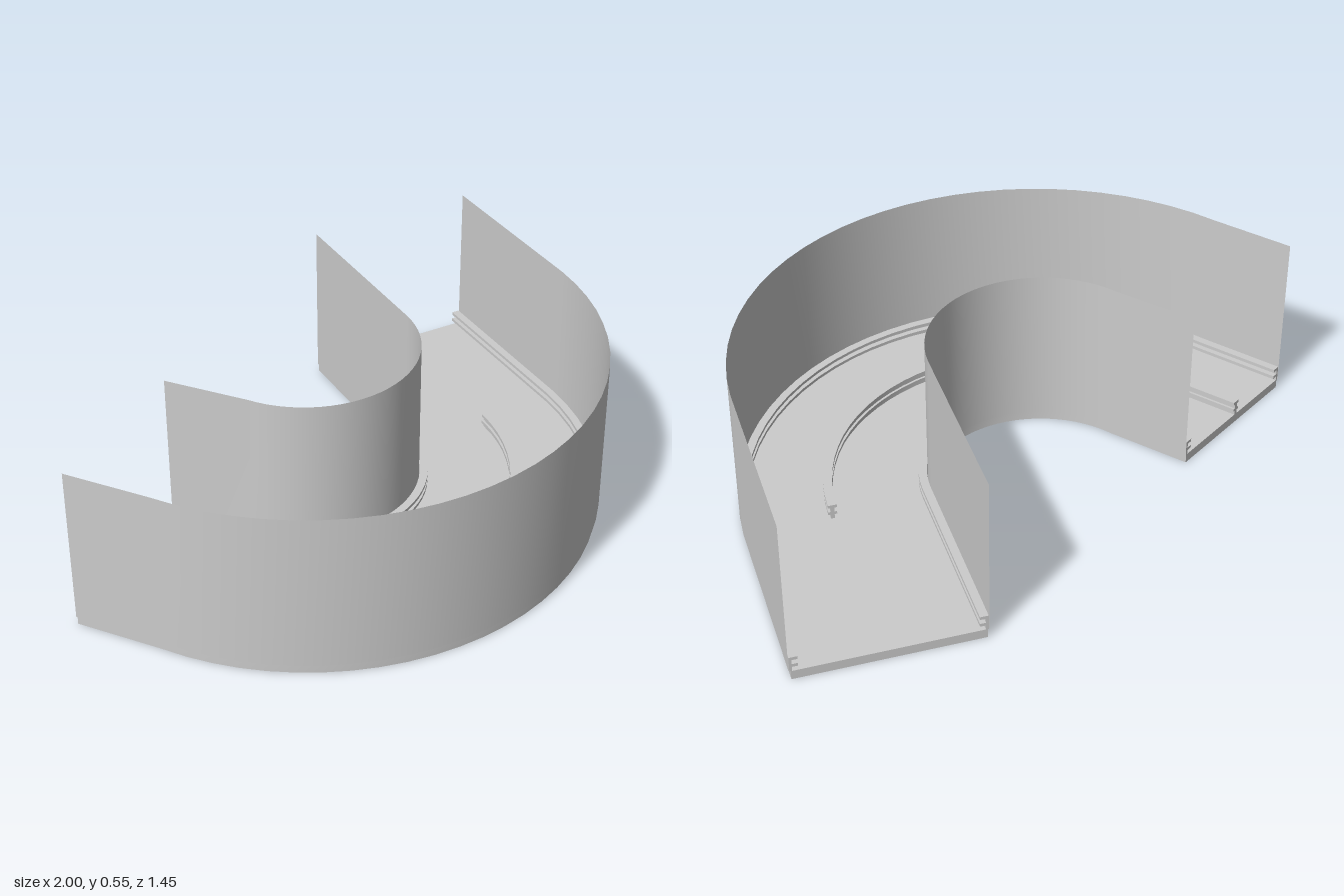
import * as THREE from 'three';

const SEG = 28;

// Stations along the bend: matching points on the inner and outer edges
function makeStations() {
  const list = [{ inner: [-0.5, -0.31], outer: [-1, -0.1] }];
  for (let i = 0; i <= SEG; i++) {
    const t = i / SEG;
    const a = THREE.MathUtils.degToRad(157 - 145.5 * t);
    const at = (r) => [-0.05 + r * Math.cos(a), -0.2 + r * Math.sin(a)];
    list.push({ inner: at(0.35 + 0.015 * t), outer: at(0.9 + 0.05 * t) });
  }
  list.push({ inner: [0.43, -0.73], outer: [1, -0.62] });
  return list;
}

// Sweeps a profile of [fraction across the road, offset, height] along the stations
function sweep(name, profile, stations, material, closed = true) {
  const pos = [], index = [];
  const point = (s, [f, off, y]) => {
    const dx = s.outer[0] - s.inner[0], dz = s.outer[1] - s.inner[1];
    const k = f + off / Math.hypot(dx, dz);
    return [s.inner[0] + dx * k, y, s.inner[1] + dz * k];
  };
  const n = profile.length;
  for (let e = 0; e < (closed ? n : n - 1); e++) {
    const base = pos.length / 3;
    stations.forEach((s, i) => {
      pos.push(...point(s, profile[e]), ...point(s, profile[(e + 1) % n]));
      if (i === 0) return;
      const a = base + 2 * (i - 1);
      index.push(a, a + 2, a + 3, a, a + 3, a + 1);
    });
  }
  // End caps
  if (closed) {
    const flat = profile.map(([f, off, y]) => new THREE.Vector2(f * 0.57 + off, y));
    const faces = THREE.ShapeUtils.triangulateShape(flat, []);
    [stations[0], stations[stations.length - 1]].forEach((s, end) => {
      const base = pos.length / 3;
      profile.forEach((p) => pos.push(...point(s, p)));
      faces.forEach(([a, b, c]) =>
        index.push(base + a, base + (end ? c : b), base + (end ? b : c)));
    });
  }
  const geo = new THREE.BufferGeometry();
  geo.setAttribute('position', new THREE.Float32BufferAttribute(pos, 3));
  geo.setIndex(index);
  geo.computeVertexNormals();
  const mesh = new THREE.Mesh(geo, material);
  mesh.name = name;
  return mesh;
}

export function createModel() {
  const group = new THREE.Group();
  group.name = 'curvedRoadSection';
  const solid = new THREE.MeshStandardMaterial({ color: 0xcccccc });
  const sheet = new THREE.MeshStandardMaterial({ color: 0xcccccc, side: THREE.DoubleSide });
  const stations = makeStations();

  const rect = (f0, o0, f1, o1, y0, y1) =>
    [[f0, o0, y0], [f1, o1, y0], [f1, o1, y1], [f0, o0, y1]];

  // Road bed
  group.add(sweep('roadBed', rect(0, 0.004, 1, -0.006, 0, 0.03), stations, solid));

  // Tall thin side walls
  group.add(sweep('innerWall', [[0, 0, 0.03], [0, 0, 0.545]], stations, sheet, false));
  group.add(sweep('outerWall', [[1, 0, 0.03], [1, 0, 0.545]], stations, sheet, false));

  // Guard rails: two bars joined by a recessed web
  const rail = (name, f, o0, o1, web0, web1, path) => {
    const g = new THREE.Group();
    g.name = name;
    for (const y of [0.045, 0.07])
      g.add(sweep('railBar', rect(f, o0, f, o1, y, y + 0.01), path, solid));
    g.add(sweep('railWeb', rect(f, web0, f, web1, 0.03, 0.072), path, solid));
    group.add(g);
  };
  rail('innerRail', 0, 0.002, 0.028, 0.002, 0.01, stations);
  rail('outerRail', 1, -0.028, -0.002, -0.01, -0.002, stations);
  rail('medianRail', 0.53, -0.014, 0.014, -0.006, 0.006, stations.slice(0, -1));

  return group;
}
